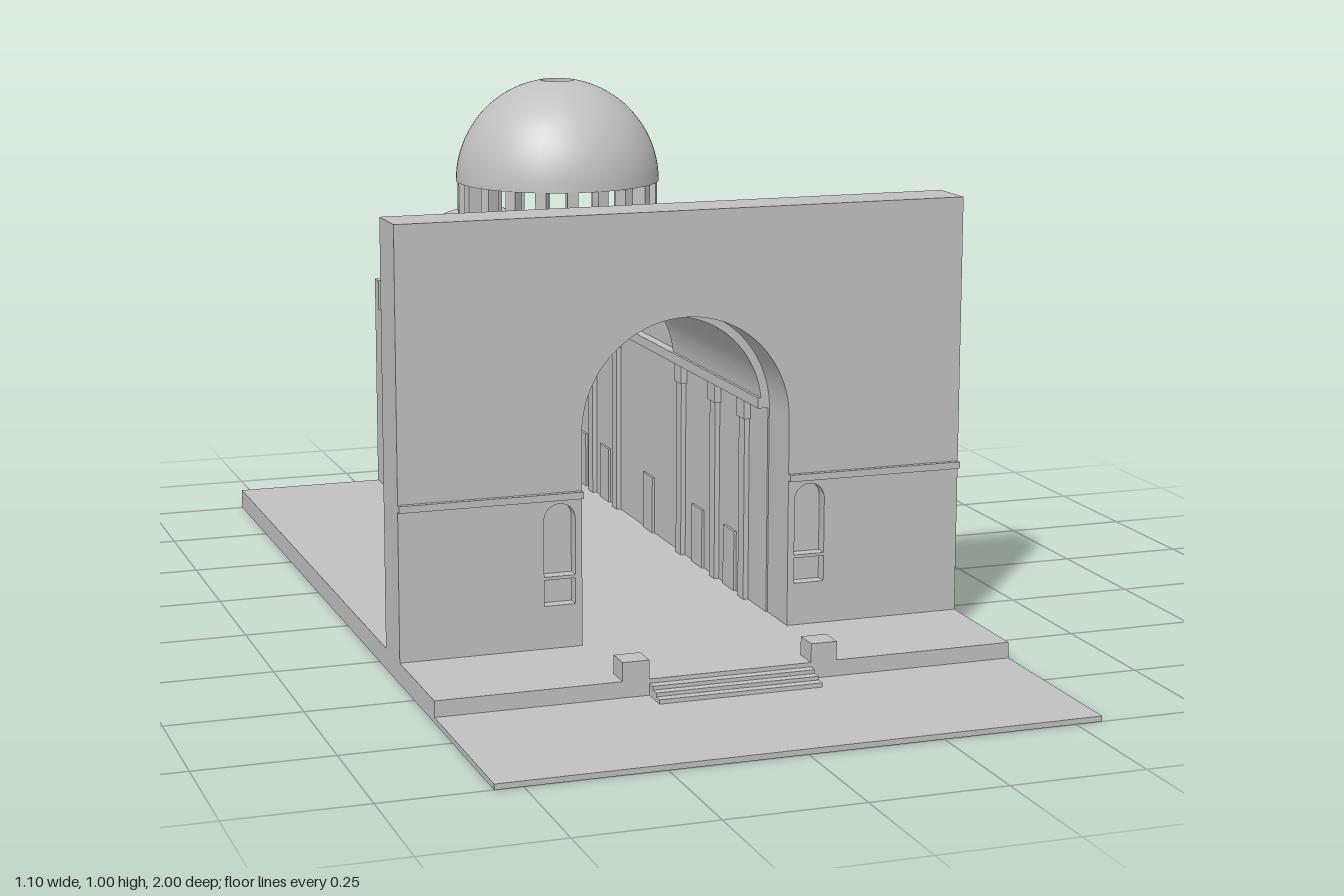
import * as THREE from 'three';
import { toCreasedNormals } from 'three/addons/utils/BufferGeometryUtils.js';

export function createModel() {
  const model = new THREE.Group();
  const stone = new THREE.MeshStandardMaterial({ color: 0xc0c0c0 });
  stone.name = 'stone';

  const add = (name, geometry) => {
    const mesh = new THREE.Mesh(geometry, stone);
    mesh.name = name;
    model.add(mesh);
    return mesh;
  };
  // Box given by its limits
  const box = (name, x0, x1, y0, y1, z0, z1) => {
    const mesh = add(name, new THREE.BoxGeometry(x1 - x0, y1 - y0, z1 - z0));
    mesh.position.set((x0 + x1) / 2, (y0 + y1) / 2, (z0 + z1) / 2);
    return mesh;
  };
  // The same box on both sides of the axis
  const pair = (name, x0, x1, ...rest) => {
    box(name + 'Left', x0, x1, ...rest);
    box(name + 'Right', -x1, -x0, ...rest);
  };
  // Shape in x and y, extruded from z0 to z1
  const slab = (name, shape, z0, z1) => {
    const g = new THREE.ExtrudeGeometry(shape, { depth: z1 - z0, bevelEnabled: false, curveSegments: 40 });
    g.translate(0, 0, z0);
    return add(name, toCreasedNormals(g, 0.5));
  };
  // Wall outline with an arched doorway open at the foot
  const archWall = (half, y0, y1, r, spring) => {
    const s = new THREE.Shape();
    s.moveTo(r, y0);
    s.lineTo(half, y0);
    s.lineTo(half, y1);
    s.lineTo(-half, y1);
    s.lineTo(-half, y0);
    s.lineTo(-r, y0);
    s.lineTo(-r, spring);
    s.absarc(0, spring, r, Math.PI, 0, true);
    s.lineTo(r, y0);
    return s;
  };
  const rectPath = (x0, x1, y0, y1) => new THREE.Path([
    new THREE.Vector2(x0, y0), new THREE.Vector2(x0, y1),
    new THREE.Vector2(x1, y1), new THREE.Vector2(x1, y0),
  ]);

  // Ground, terrace and entrance steps
  box('groundSlab', -0.55, 0.55, 0, 0.01, -1, 1);
  box('terrace', -0.55, 0.55, 0.01, 0.04, -1, 0.635);
  for (let i = 0; i < 3; i++) {
    box('entranceStep' + (i + 1), -0.155, 0.155, 0.01, 0.018 + i * 0.007, 0.635, 0.69 - i * 0.018);
  }
  pair('stepPedestal', 0.155, 0.205, 0.04, 0.075, 0.585, 0.635);

  // Tall facade, its front layer pierced by niches
  slab('facadeBack', archWall(0.55, 0.04, 0.84, 0.203, 0.44), 0.3, 0.375);
  const front = archWall(0.55, 0.04, 0.84, 0.203, 0.44);
  for (const side of [-1, 1]) {
    const cx = side * 0.246;
    const niche = new THREE.Path();
    niche.moveTo(cx - 0.03, 0.176);
    niche.lineTo(cx + 0.03, 0.176);
    niche.lineTo(cx + 0.03, 0.282);
    niche.absarc(cx, 0.282, 0.03, 0, Math.PI, false);
    niche.lineTo(cx - 0.03, 0.176);
    front.holes.push(niche, rectPath(cx - 0.03, cx + 0.03, 0.121, 0.17));
  }
  slab('facadeFront', front, 0.375, 0.4);
  pair('facadeCornice', 0.203, 0.55, 0.32, 0.333, 0.4, 0.41);

  // Nave walls with inner ledges, pilasters and door panels
  pair('naveWall', 0.2, 0.235, 0.04, 0.44, -0.97, 0.3);
  pair('naveLedge', 0.18, 0.21, 0.44, 0.46, -0.97, 0.3);
  for (const z of [0.19, 0.03, -0.165, -0.575, -0.74, -0.9]) {
    pair('pilaster', 0.19, 0.2, 0.04, 0.4, z - 0.015, z + 0.015);
    pair('capital', 0.187, 0.2, 0.4, 0.44, z - 0.02, z + 0.02);
  }
  for (const z of [0.11, -0.07, -0.37, -0.66, -0.82]) {
    pair('wallPanel', 0.195, 0.2, 0.04, 0.16, z - 0.03, z + 0.03);
  }

  // Barrel vaults before and behind the crossing
  const vault = new THREE.Shape();
  vault.absarc(0, 0.44, 0.225, 0, Math.PI, false);
  vault.lineTo(-0.187, 0.44);
  vault.absarc(0, 0.44, 0.187, Math.PI, 0, true);
  slab('frontVault', vault, -0.165, 0.3);
  slab('rearVault', vault, -0.97, -0.595);

  // Rear wall with arched doorway
  slab('rearWall', archWall(0.235, 0.04, 0.505, 0.128, 0.272), -1, -0.97);
  box('rearLedge', -0.19, 0.19, 0.44, 0.46, -0.97, -0.955);

  // Crossing block: side walls, arched end walls and pierced roof
  pair('crossingWall', 0.2, 0.235, 0.44, 0.66, -0.57, -0.19);
  slab('crossingFrontArch', archWall(0.235, 0.44, 0.66, 0.187, 0.441), -0.19, -0.165);
  slab('crossingRearArch', archWall(0.235, 0.44, 0.66, 0.187, 0.441), -0.595, -0.57);
  const roof = new THREE.Shape([
    new THREE.Vector2(-0.235, 0.165), new THREE.Vector2(0.235, 0.165),
    new THREE.Vector2(0.235, 0.595), new THREE.Vector2(-0.235, 0.595),
  ]);
  roof.holes.push(rectPath(-0.19, 0.19, 0.19, 0.57));
  const roofMesh = add('crossingRoof', new THREE.ExtrudeGeometry(roof, { depth: 0.02, bevelEnabled: false }));
  roofMesh.rotation.x = -Math.PI / 2;
  roofMesh.position.y = 0.66;

  // Drum ring, piers and hollow dome with an oculus
  const dz = -0.38;
  const lathe = (name, points) => {
    const g = new THREE.LatheGeometry(points, 64);
    const mesh = add(name, toCreasedNormals(g, 0.5));
    mesh.position.z = dz;
  };
  const V = (r, y) => new THREE.Vector2(r, y);
  lathe('drumRing', [V(0.175, 0.672), V(0.208, 0.672), V(0.208, 0.687), V(0.175, 0.687), V(0.175, 0.672)]);
  const piers = 20;
  for (let i = 0; i < piers; i++) {
    const a = ((i + 0.5) / piers) * Math.PI * 2;
    const pier = add('drumPier', new THREE.BoxGeometry(0.022, 0.12, 0.028));
    pier.position.set(Math.sin(a) * 0.192, 0.742, dz + Math.cos(a) * 0.192);
    pier.rotation.y = a;
  }
  const profile = [];
  const arc = (r, reverse) => {
    const top = Math.acos(0.035 / r);
    for (let i = 0; i <= 20; i++) {
      const t = top * (reverse ? 1 - i / 20 : i / 20);
      profile.push(V(r * Math.cos(t), 0.798 + r * Math.sin(t)));
    }
  };
  arc(0.209, false);
  arc(0.18, true);
  profile.push(profile[0].clone());
  lathe('dome', profile);

  return model;
}
